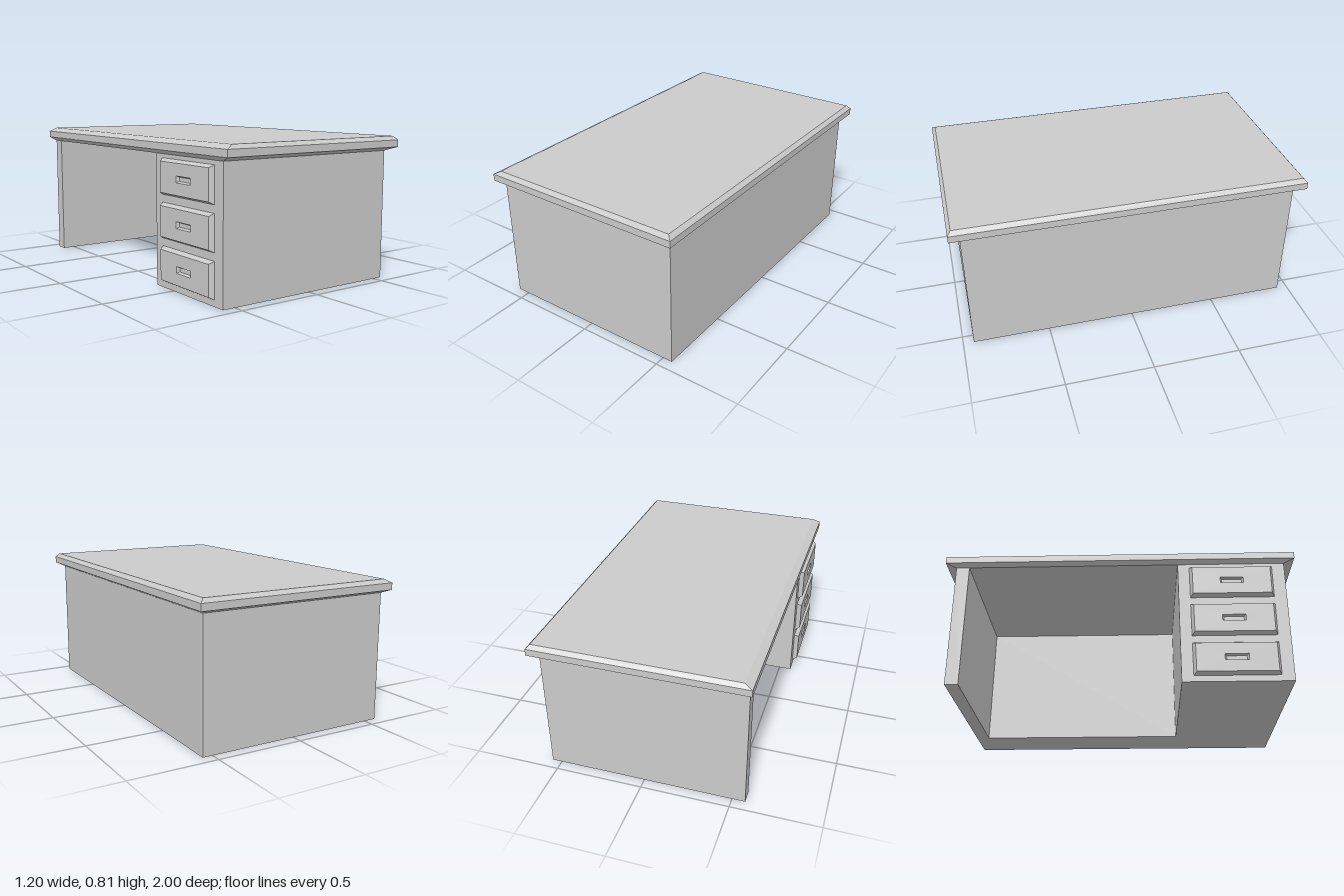
import * as THREE from 'three';

const material = new THREE.MeshStandardMaterial({ color: 0xcccccc, flatShading: true });

// Solid through stacked rectangles [u0, u1, v0, v1, w], closed at both ends
function rectLoft(rings) {
  const points = [], index = [];
  for (const [u0, u1, v0, v1, w] of rings) {
    points.push(u0, v0, w, u1, v0, w, u1, v1, w, u0, v1, w);
  }
  for (let r = 0; r < rings.length - 1; r++) {
    for (let i = 0; i < 4; i++) {
      const a = r * 4 + i, b = r * 4 + (i + 1) % 4;
      index.push(a, b, b + 4, a, b + 4, a + 4);
    }
  }
  const t = (rings.length - 1) * 4;
  index.push(0, 2, 1, 0, 3, 2, t, t + 1, t + 2, t, t + 2, t + 3);
  const geometry = new THREE.BufferGeometry();
  geometry.setAttribute('position', new THREE.Float32BufferAttribute(points, 3));
  geometry.setIndex(index);
  const flat = geometry.toNonIndexed();
  flat.computeVertexNormals();
  return flat;
}

function addPart(group, name, geometry) {
  const mesh = new THREE.Mesh(geometry, material);
  mesh.name = name;
  group.add(mesh);
  return mesh;
}

export function createModel() {
  const desk = new THREE.Group();
  desk.name = 'desk';

  // U-shaped body: side panel, deep closing panel and drawer cabinet around the knee space
  const left = -0.573, right = 0.556, end = 0.94;
  const plan = new THREE.Shape([
    [left, -end], [right, -end], [right, end], [left, end],
    [left, 0.865], [0.312, 0.865], [0.312, -0.335], [left, -0.335],
  ].map(([x, y]) => new THREE.Vector2(x, y)));
  const body = new THREE.ExtrudeGeometry(plan, { depth: 0.73, bevelEnabled: false });
  addPart(desk, 'body', body.rotateX(-Math.PI / 2));

  // Table top, chamfered above and below its rim
  const top = rectLoft([
    [left, right, -end, end, 0.73],
    [-0.595, 0.6, -1, 1, 0.752],
    [-0.595, 0.6, -1, 1, 0.791],
    [-0.552, 0.578, -0.98, 0.98, 0.813],
  ]);
  addPart(desk, 'tableTop', top.rotateX(-Math.PI / 2));

  // Drawer fronts with bevelled edges and a recessed finger pull
  const drawers = new THREE.Group();
  drawers.name = 'drawers';
  desk.add(drawers);
  const drawerFront = rectLoft([
    [-0.235, 0.235, -0.098, 0.098, 0],
    [-0.22, 0.22, -0.084, 0.084, 0.027],
    [-0.065, 0.065, -0.018, 0.018, 0.027],
    [-0.055, 0.055, -0.011, 0.011, 0.012],
  ]).rotateY(-Math.PI / 2);
  for (let i = 0; i < 3; i++) {
    const front = addPart(drawers, `drawerFront${i + 1}`, drawerFront);
    front.position.set(left, 0.133 + i * 0.2385, 0.635);
  }
  return desk;
}
